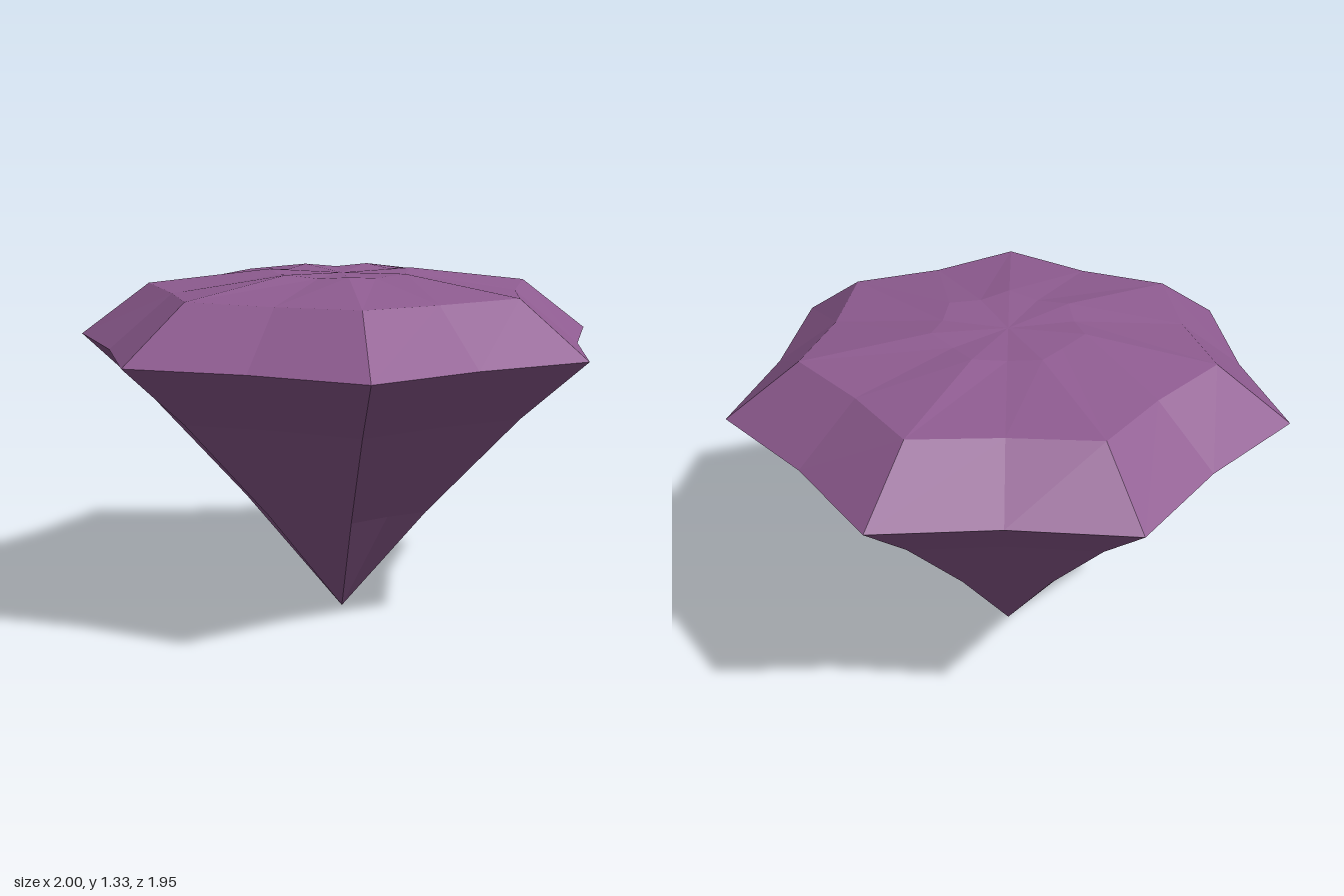
import * as THREE from 'three';

const SIDES = 14; // seven corners alternating with seven drawn-in midpoints
const PINCH = 0.869;
const CENTER_Z = -0.05;

// Rings: [corner radius, corner height, midpoint height]
const TIP = [0, 0, 0];
const LOWER = [0.38, 0.44, 0.44];
const MIDDLE = [0.765, 0.84, 0.84];
const GIRDLE = [1.0257, 1.07, 1.07];
const SHOULDER = [0.752, 1.272, 1.266];
const TABLE = [0.28, 1.332, 1.322];
const CENTER = [0, 1.322, 1.322];

function ringPoint([radius, cornerY, midY], i) {
  const mid = i % 2 === 1;
  const a = (i / SIDES) * Math.PI * 2;
  const r = radius * (mid ? PINCH : 1);
  return [Math.sin(a) * r, mid ? midY : cornerY, Math.cos(a) * r];
}

// Facets joining a stack of rings, listed from bottom to top
function facets(rings) {
  const pos = [];
  for (let k = 0; k < rings.length - 1; k++) {
    for (let i = 0; i < SIDES; i++) {
      const a = ringPoint(rings[k], i);
      const b = ringPoint(rings[k], i + 1);
      const c = ringPoint(rings[k + 1], i + 1);
      const d = ringPoint(rings[k + 1], i);
      if (rings[k][0] > 0) pos.push(...a, ...b, ...(rings[k + 1][0] > 0 ? c : d));
      if (rings[k + 1][0] > 0) pos.push(...a, ...c, ...d);
    }
  }
  const g = new THREE.BufferGeometry();
  g.setAttribute('position', new THREE.Float32BufferAttribute(pos, 3));
  g.computeVertexNormals(); // unshared corners give flat facets
  return g;
}

export function createModel() {
  const gem = new THREE.Group();
  gem.name = 'gem';
  const purple = new THREE.MeshStandardMaterial({ color: 0x8f5c91 });
  purple.name = 'purple crystal';

  const parts = {
    pavilion: [TIP, LOWER, MIDDLE, GIRDLE],
    crown: [GIRDLE, SHOULDER, TABLE],
    table: [TABLE, CENTER],
  };
  for (const [name, rings] of Object.entries(parts)) {
    const mesh = new THREE.Mesh(facets(rings), purple);
    mesh.name = name;
    mesh.position.z = CENTER_Z;
    gem.add(mesh);
  }
  return gem;
}
